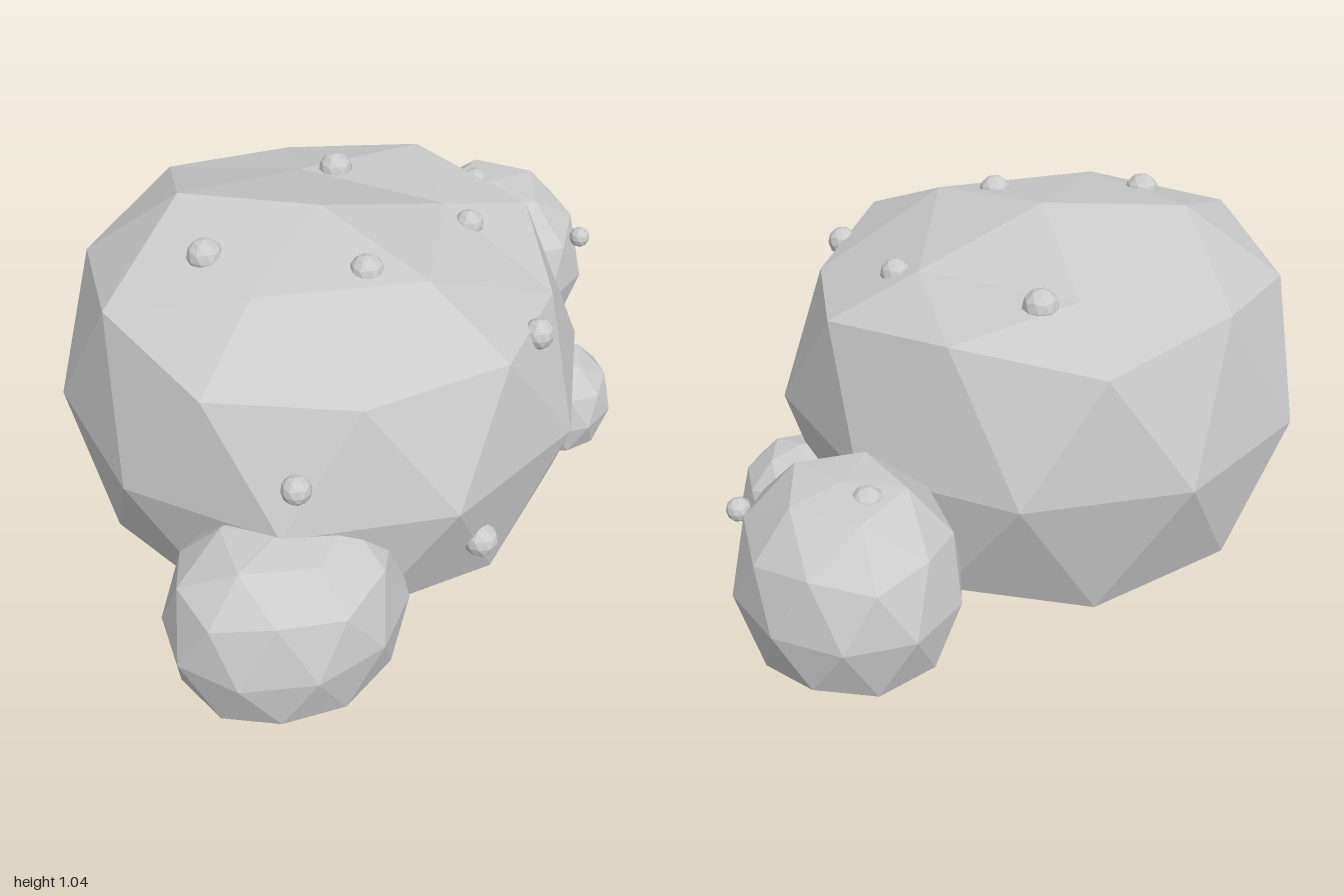
import * as THREE from 'three';

const material = new THREE.MeshStandardMaterial({ color: 0xcccccc, flatShading: true });

// Low-poly ball with a vertex at the top and bottom and a corner towards +x
function ball() {
  return new THREE.IcosahedronGeometry(1, 1).rotateZ(-Math.atan(2 / (1 + Math.sqrt(5))));
}

// Boulder: stretched ball, flat underneath, with an optional rule that lowers the crown
function boulder(name, [x, y, z], [rx, ry, rz], turn, bottom, crown) {
  const geo = ball().rotateY(-THREE.MathUtils.degToRad(turn));
  const pos = geo.attributes.position;
  for (let i = 0; i < pos.count; i++) {
    const u = pos.getX(i), v = pos.getY(i), w = pos.getZ(i);
    let h = Math.max(y + v * ry, bottom);
    if (v > 0.5) h = crown(u, v, w, h);
    pos.setXYZ(i, x + u * rx, h, z + w * rz);
  }
  geo.computeVertexNormals();
  const mesh = new THREE.Mesh(geo, material);
  mesh.name = name;
  return mesh;
}

// Crown heights of the main boulder, one per 36 degree sector
const crownHeights = [0.91, 0.78, 0.96, 0.81, 0.97, 0.89, 1.04, 0.89, 0.91, 0.885];
function mainCrown(u, v, w) {
  if (v > 0.95) return 1.03;
  const sector = Math.round(Math.atan2(w, u) / (Math.PI / 5));
  return crownHeights[(sector + 10) % 10];
}

// Simple crown: the pole and the ring below it are capped
const capped = (pole, ring) => (u, v, w, h) => Math.min(h, v > 0.95 ? pole : ring);

export function createModel() {
  const group = new THREE.Group();
  group.name = 'boulderCluster';

  // Boulders
  group.add(
    boulder('mainBoulder', [-0.2, 0.47, -0.055], [0.795, 0.795, 0.795], 0, 0.05, mainCrown),
    boulder('frontRightBoulder', [-0.65, 0.19, 0.565], [0.355, 0.36, 0.3], 8, 0, capped(0.48, 0.46)),
    boulder('backLeftBoulder', [0.695, 0.31, -0.515], [0.31, 0.345, 0.345], -5, 0.13, capped(0.615, 0.6)),
    boulder('smallLeftBoulder', [0.545, 0.15, 0.105], [0.2, 0.2, 0.195], -5, 0.045, capped(0.34, 0.32)),
  );

  // Pebbles half sunk into the boulders: x, y, z, radius
  const pebbles = [
    [0.03, 0.905, -0.41, 0.053], [-0.57, 0.985, -0.04, 0.052],
    [0.25, 0.875, 0.03, 0.045], [-0.2, 0.965, 0.22, 0.05],
    [0.2, 0.78, 0.49, 0.046], [-0.605, 0.61, 0.57, 0.043],
    [-0.08, 0.265, 0.665, 0.051],
    [0.665, 0.585, -0.59, 0.046], [0.9, 0.455, -0.275, 0.035],
  ];
  const pebbleGeometry = ball();
  for (const [x, y, z, r] of pebbles) {
    const pebble = new THREE.Mesh(pebbleGeometry, material);
    pebble.name = 'pebble';
    pebble.position.set(x, y, z);
    pebble.scale.setScalar(r);
    group.add(pebble);
  }
  return group;
}
